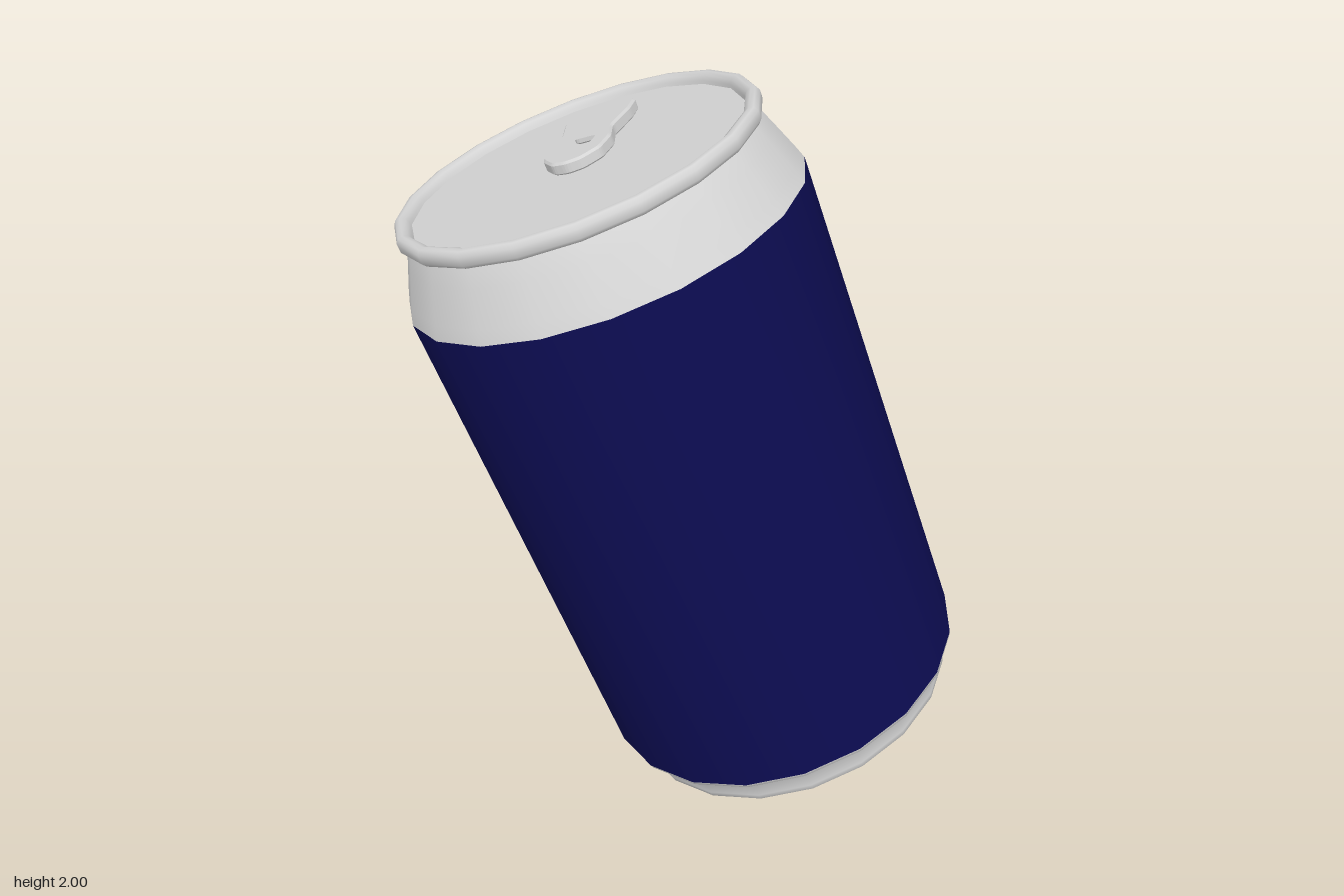
import * as THREE from 'three';
import { toCreasedNormals } from 'three/addons/utils/BufferGeometryUtils.js';

const SIDES = 20;
const BODY_TOP = 1.455;
const TILT = THREE.MathUtils.degToRad(19.7);

const silver = new THREE.MeshStandardMaterial({ color: 0xd4d4d4 });
silver.name = 'silver';
const blue = new THREE.MeshStandardMaterial({ color: 0x0c0c50 });
blue.name = 'darkBlue';

// Turned part from [radius, height] pairs, listed with the outside on the right of the path
function turned(name, profile, material, crease = 0.7) {
  const points = profile.map(([r, y]) => new THREE.Vector2(r, y));
  const geometry = toCreasedNormals(new THREE.LatheGeometry(points, SIDES), crease);
  const mesh = new THREE.Mesh(geometry, material);
  mesh.name = name;
  return mesh;
}

// Closed path with rounded corners
function rounded(path, corners, radius) {
  const pts = corners.map(([x, y]) => new THREE.Vector2(x, y));
  pts.forEach((p, i) => {
    const prev = pts[(i + pts.length - 1) % pts.length];
    const next = pts[(i + 1) % pts.length];
    const a = p.clone().add(prev.clone().sub(p).setLength(radius));
    const b = p.clone().add(next.clone().sub(p).setLength(radius));
    if (i === 0) path.moveTo(a.x, a.y);
    else path.lineTo(a.x, a.y);
    path.quadraticCurveTo(p.x, p.y, b.x, b.y);
  });
  path.closePath();
  return path;
}

// Pull tab: waisted plate with two openings
function pullTab() {
  const half = [[0.045, 0.313], [0.092, 0.295], [0.092, 0.23], [0.072, 0.13],
    [0.088, 0.06], [0.078, -0.01], [0.04, -0.055]];
  const outline = [...half, [0, -0.066], ...half.map(([x, y]) => [-x, y]).reverse()];
  const shape = rounded(new THREE.Shape(), outline, 0.012);
  shape.holes.push(
    rounded(new THREE.Path(), [[-0.052, 0.243], [0.052, 0.243], [0.043, 0.132], [-0.043, 0.132]], 0.014),
    rounded(new THREE.Path(), [[-0.051, 0.085], [0.051, 0.085], [0.04, 0.006], [-0.04, 0.006]], 0.02),
  );
  const geometry = new THREE.ExtrudeGeometry(shape, {
    depth: 0.022, curveSegments: 3, bevelEnabled: true,
    bevelThickness: 0.006, bevelSize: 0.006, bevelOffset: -0.006, bevelSegments: 1,
  });
  geometry.rotateX(-Math.PI / 2);
  const mesh = new THREE.Mesh(geometry, silver);
  mesh.name = 'pullTab';
  mesh.position.y = BODY_TOP + 0.191;
  return mesh;
}

export function createModel() {
  const can = new THREE.Group();
  can.name = 'can';

  // Painted wall
  can.add(turned('paintedBody', [[0.533, 0], [0.533, BODY_TOP]], blue));

  // Concave underside
  const dome = [];
  for (let i = 0; i <= 6; i++) {
    const t = i / 6;
    dome.push([0.445 * t, 0.02 - 0.12 * t * t]);
  }
  can.add(turned('bottomDome', dome, silver));

  // Foot ring and lower flare
  can.add(turned('footRing', [[0.445, -0.1], [0.455, -0.114], [0.472, -0.118], [0.486, -0.108],
    [0.49, -0.09], [0.493, -0.037], [0.51, -0.024], [0.529, -0.012], [0.533, 0]], silver, 0.9));

  // Shoulder narrowing to the neck
  can.add(turned('shoulder', [[0.533, BODY_TOP], [0.519, BODY_TOP + 0.035],
    [0.482, BODY_TOP + 0.12], [0.461, BODY_TOP + 0.165], [0.455, BODY_TOP + 0.175]], silver));

  // Rolled rim
  const rim = [[0.455, 0.168], [0.472, 0.168], [0.48, 0.178], [0.48, 0.2], [0.472, 0.211],
    [0.46, 0.213], [0.447, 0.207], [0.441, 0.195], [0.438, 0.185]];
  can.add(turned('rim', rim.map(([r, y]) => [r, BODY_TOP + y]), silver, 1));

  // Recessed lid
  can.add(turned('lid', [[0.44, BODY_TOP + 0.187], [0, BODY_TOP + 0.187]], silver));
  can.add(pullTab());

  // Lean the whole can onto its foot edge
  can.rotation.z = TILT;
  can.position.set(0.25, 0.272, 0);

  const model = new THREE.Group();
  model.name = 'tiltedCan';
  model.add(can);
  return model;
}
